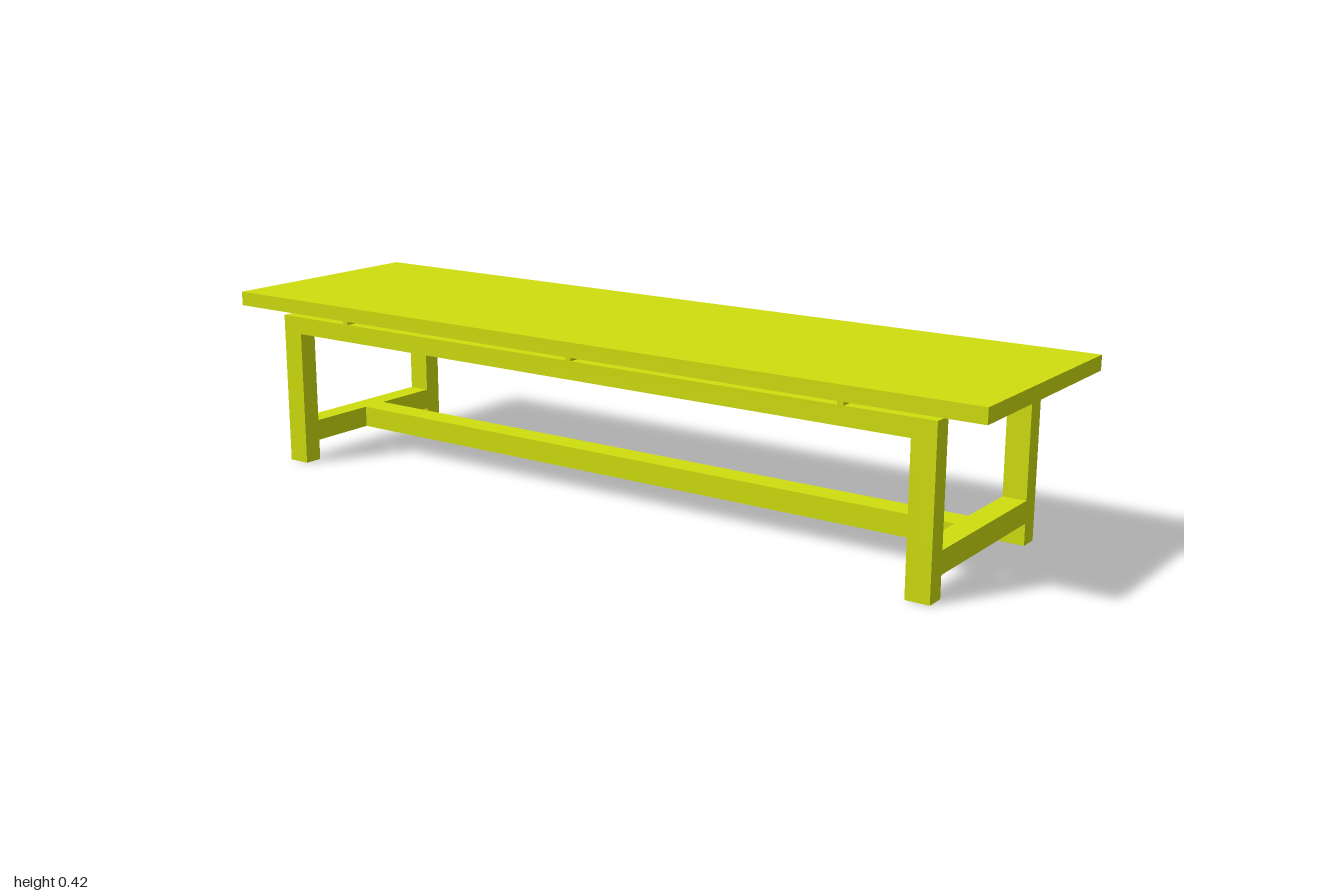
import * as THREE from 'three';

export function createModel() {
  const model = new THREE.Group();
  const material = new THREE.MeshStandardMaterial({ color: 0xd0de0e });

  const add = (name, geometry, x, y, z) => {
    const mesh = new THREE.Mesh(geometry, material);
    mesh.name = name;
    mesh.position.set(x, y, z);
    model.add(mesh);
  };
  const box = (name, w, h, d, x, y, z) => add(name, new THREE.BoxGeometry(w, h, d), x, y, z);

  const legDepth = 0.045, legWidth = 0.055;
  const outer = 0.885, inner = outer - legWidth;
  const frameTop = 0.37, railBottom = 0.328, topBottom = 0.386, topHeight = 0.42;

  // Table top
  box('tableTop', 2, topHeight - topBottom, 0.552, 0, (topHeight + topBottom) / 2, 0);

  // Long side frames: two legs and an upper rail in one piece
  const profile = new THREE.Shape([
    [-outer, 0], [-inner, 0], [-inner, railBottom], [inner, railBottom],
    [inner, 0], [outer, 0], [outer, frameTop], [-outer, frameTop],
  ].map(([x, y]) => new THREE.Vector2(x, y)));
  const frame = new THREE.ExtrudeGeometry(profile, { depth: legDepth, bevelEnabled: false });
  frame.translate(0, 0, -legDepth / 2);

  for (const [side, s] of [['front', 1], ['back', -1]]) {
    const z = s * 0.2225;
    add(side + 'LegFrame', frame, 0, 0, z);
    // Spacers holding the top clear of the rail
    for (const x of [-0.675, 0, 0.675]) {
      box(side + 'Spacer', 0.015, topBottom - frameTop, legDepth, x, (topBottom + frameTop) / 2, z);
    }
  }

  // Lower H-shaped stretcher: end bars and a long middle bar
  const barHeight = 0.051, barY = 0.0755;
  for (const [side, s] of [['left', 1], ['right', -1]]) {
    box(side + 'EndBar', legWidth, barHeight, 0.4, s * (outer + inner) / 2, barY, 0);
  }
  box('longStretcher', inner * 2, barHeight, 0.064, 0, barY, 0);

  return model;
}
